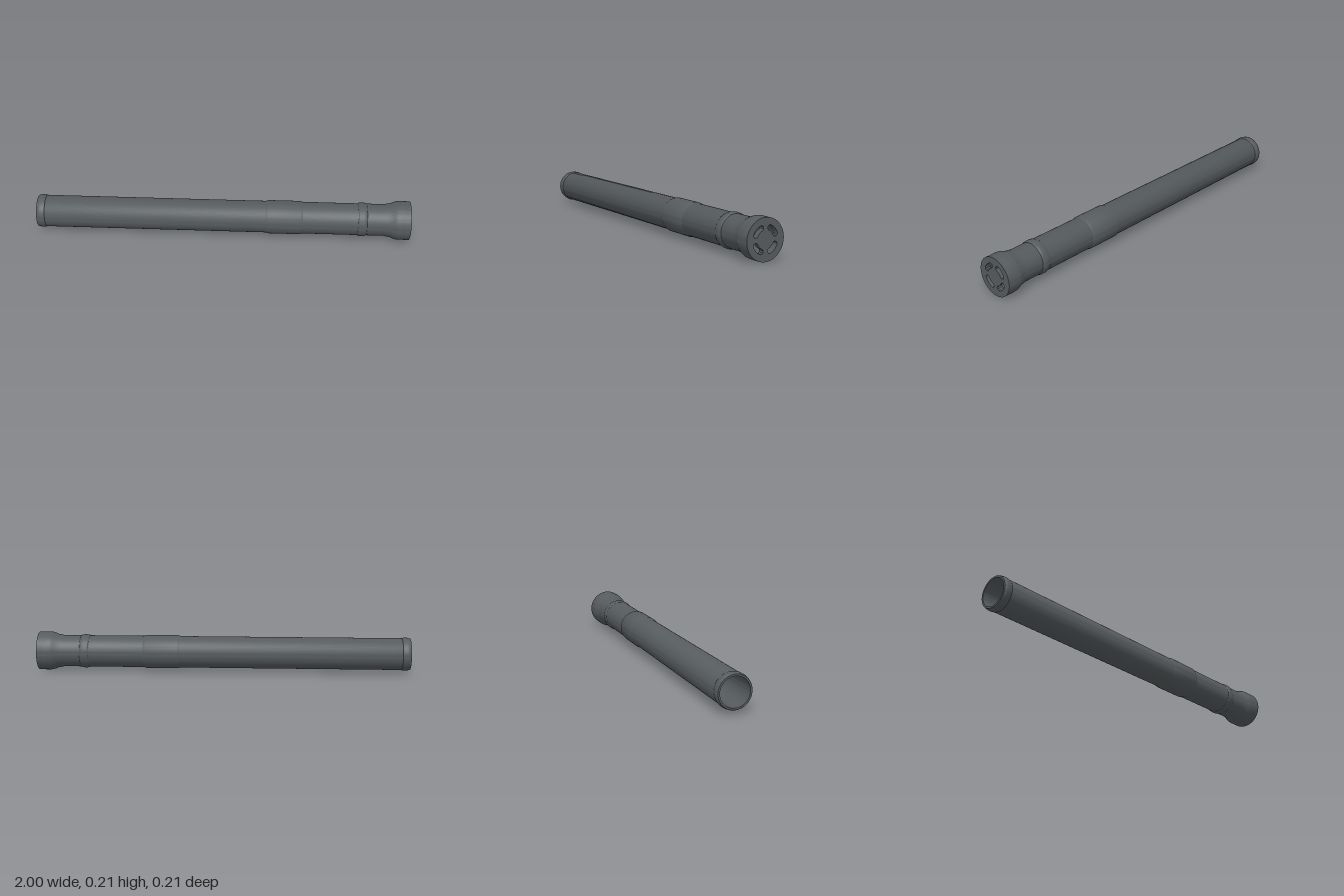
import * as THREE from 'three';
import { toCreasedNormals } from 'three/addons/utils/BufferGeometryUtils.js';

const AXIS = 0.1035; // height of the tube's centre line
const CAP = 0.03; // thickness of the slotted cap

// Revolve [x, radius] points about the long axis
function turned(name, points, material) {
  const profile = points.map(([x, r]) => new THREE.Vector2(r, x));
  const geometry = new THREE.LatheGeometry(profile, 72);
  geometry.rotateZ(-Math.PI / 2);
  const mesh = new THREE.Mesh(toCreasedNormals(geometry, 0.6), material);
  mesh.name = name;
  return mesh;
}

// Rounded bead standing proud of the tube
function bead(x, halfWidth, base, height) {
  const points = [];
  for (let i = 0; i <= 8; i++) {
    const a = Math.PI * i / 8;
    points.push([x - halfWidth * Math.cos(a), base + height * Math.sin(a)]);
  }
  return points;
}

// Curved slot with round ends
function slot(middle) {
  const r = 0.059, w = 0.0125, half = 0.36;
  const a = middle - half, b = middle + half;
  const path = new THREE.Path();
  path.absarc(0, 0, r + w, a, b, false);
  path.absarc(r * Math.cos(b), r * Math.sin(b), w, b, b + Math.PI, false);
  path.absarc(0, 0, r - w, b, a, true);
  path.absarc(r * Math.cos(a), r * Math.sin(a), w, a + Math.PI, a + 2 * Math.PI, false);
  path.closePath();
  return path;
}

export function createModel() {
  const model = new THREE.Group();
  model.name = 'tube';
  const gunmetal = new THREE.MeshStandardMaterial({ color: 0x565b5e });
  gunmetal.name = 'dark grey';

  const body = new THREE.Group();
  body.name = 'body';
  body.position.y = AXIS;
  model.add(body);

  // Hollow barrel, flaring into the head at +x
  body.add(turned('barrel', [
    [0.97, 0.074], [-1, 0.074], [-1, 0.083], [-0.997, 0.085],
    [0.865, 0.085], [0.88, 0.088], [0.90, 0.0915], [0.915, 0.098],
    [0.93, 0.1025], [0.94, 0.1035], [1 - CAP, 0.1035],
  ], gunmetal));

  // Raised sleeve and beads
  body.add(turned('sleeve', [
    [0.23, 0.0845], [0.245, 0.0895], [0.415, 0.0895], [0.43, 0.0845],
  ], gunmetal));
  body.add(turned('frontBead', bead(0.747, 0.024, 0.0845, 0.006), gunmetal));
  body.add(turned('rearBead', bead(-0.973, 0.018, 0.0845, 0.004), gunmetal));

  // Cap with four through slots
  const disc = new THREE.Shape();
  disc.absarc(0, 0, 0.1035, 0, Math.PI * 2, false);
  for (let i = 0; i < 4; i++) disc.holes.push(slot(Math.PI / 4 + i * Math.PI / 2));
  const capGeometry = new THREE.ExtrudeGeometry(disc, {
    depth: CAP, bevelEnabled: false, curveSegments: 36,
  });
  capGeometry.rotateY(Math.PI / 2);
  const cap = new THREE.Mesh(toCreasedNormals(capGeometry, 0.6), gunmetal);
  cap.name = 'slottedCap';
  cap.position.x = 1 - CAP;
  body.add(cap);

  return model;
}
